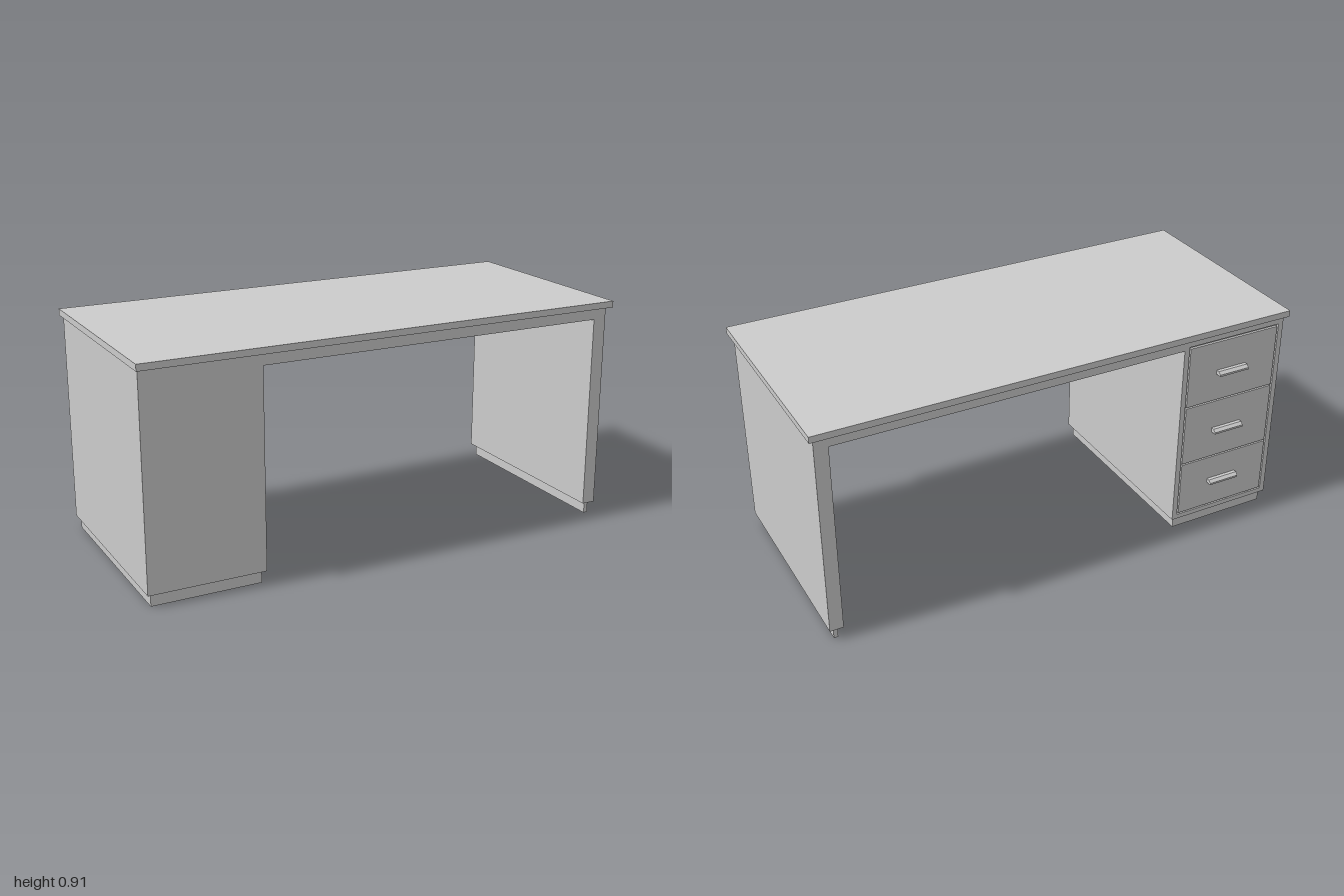
import * as THREE from 'three';

const material = new THREE.MeshStandardMaterial({ color: 0xcccccc });

function add(parent, name, geometry) {
  const mesh = new THREE.Mesh(geometry, material);
  mesh.name = name;
  parent.add(mesh);
  return mesh;
}

// Box given by its lower and upper limits on each axis
function box(parent, name, [x0, x1], [y0, y1], [z0, z1]) {
  const mesh = add(parent, name, new THREE.BoxGeometry(x1 - x0, y1 - y0, z1 - z0));
  mesh.position.set((x0 + x1) / 2, (y0 + y1) / 2, (z0 + z1) / 2);
  return mesh;
}

const polygon = (points) => points.map(([x, y]) => new THREE.Vector2(x, y));

// Extrude a profile in the xy plane from z0 to z1
function slab(parent, name, shape, z0, z1) {
  const mesh = add(parent, name,
    new THREE.ExtrudeGeometry(shape, { depth: z1 - z0, bevelEnabled: false }));
  mesh.position.z = z0;
  return mesh;
}

const BACK = -0.423, RECESS = -0.413, FRONT = 0.432;
const DRAWER_X = [-0.962, -0.553];
const DRAWER_Y = [0.076, 0.315, 0.58, 0.848];
const GAP = 0.006;
const HANDLE_X = [-0.82, -0.685];

// Pedestal, under-top slab and side panel share one outline
const outline = () => new THREE.Shape(polygon([
  [-0.99, 0.05], [-0.525, 0.05], [-0.525, 0.84], [0.925, 0.84],
  [0.925, 0.05], [0.98, 0.05], [0.98, 0.886], [-0.99, 0.886],
]));

// Pull with an open underside, chamfered along its upper edge
function handle(parent, y) {
  const group = new THREE.Group();
  group.name = 'drawerHandle';
  const outer = [[0, -0.009], [0, 0.009], [0.014, 0.009], [0.026, -0.001], [0.026, -0.009]];
  const lip = [[0, 0.009], [0.014, 0.009], [0.026, -0.001], [0.026, -0.009],
    [0.021, -0.009], [0.021, -0.003], [0.012, 0.005], [0, 0.005]];
  const [x0, x1] = HANDLE_X;
  const end = 0.008;
  for (const [name, profile, a, b] of [
    ['handleEnd', outer, x0, x0 + end],
    ['handleGrip', lip, x0 + end, x1 - end],
    ['handleEnd', outer, x1 - end, x1],
  ]) {
    const piece = slab(group, name, new THREE.Shape(polygon(profile)), 0, b - a);
    piece.rotation.y = Math.PI / 2; // profile depth runs towards -z, length along +x
    piece.position.set(a, 0, 0);
  }
  group.position.set(0, y, BACK);
  parent.add(group);
}

export function createModel() {
  const desk = new THREE.Group();
  desk.name = 'desk';

  box(desk, 'tabletop', [-1, 1], [0.886, 0.912], [-0.445, 0.452]);

  // Carcass, with a drawer opening cut into its rear layer
  slab(desk, 'carcass', outline(), RECESS, FRONT);
  const face = outline();
  const [l, r] = [DRAWER_X[0] - GAP, DRAWER_X[1] + GAP];
  const [b, t] = [DRAWER_Y[0] - GAP, DRAWER_Y[3] + GAP / 2];
  face.holes.push(new THREE.Path(polygon([[l, b], [l, t], [r, t], [r, b]])));
  slab(desk, 'drawerFrame', face, BACK, RECESS);

  // Recessed plinths
  box(desk, 'pedestalPlinth', [-0.975, -0.54], [0, 0.05], [-0.407, 0.416]);
  box(desk, 'sidePanelPlinth', [0.944, 0.961], [0, 0.05], [-0.407, 0.416]);

  // Drawer fronts flush with the frame
  const handleY = [0.197, 0.442, 0.707];
  for (let i = 0; i < 3; i++) {
    box(desk, 'drawerFront', DRAWER_X,
      [DRAWER_Y[i], DRAWER_Y[i + 1] - GAP], [BACK, RECESS]);
    handle(desk, handleY[i]);
  }
  return desk;
}
